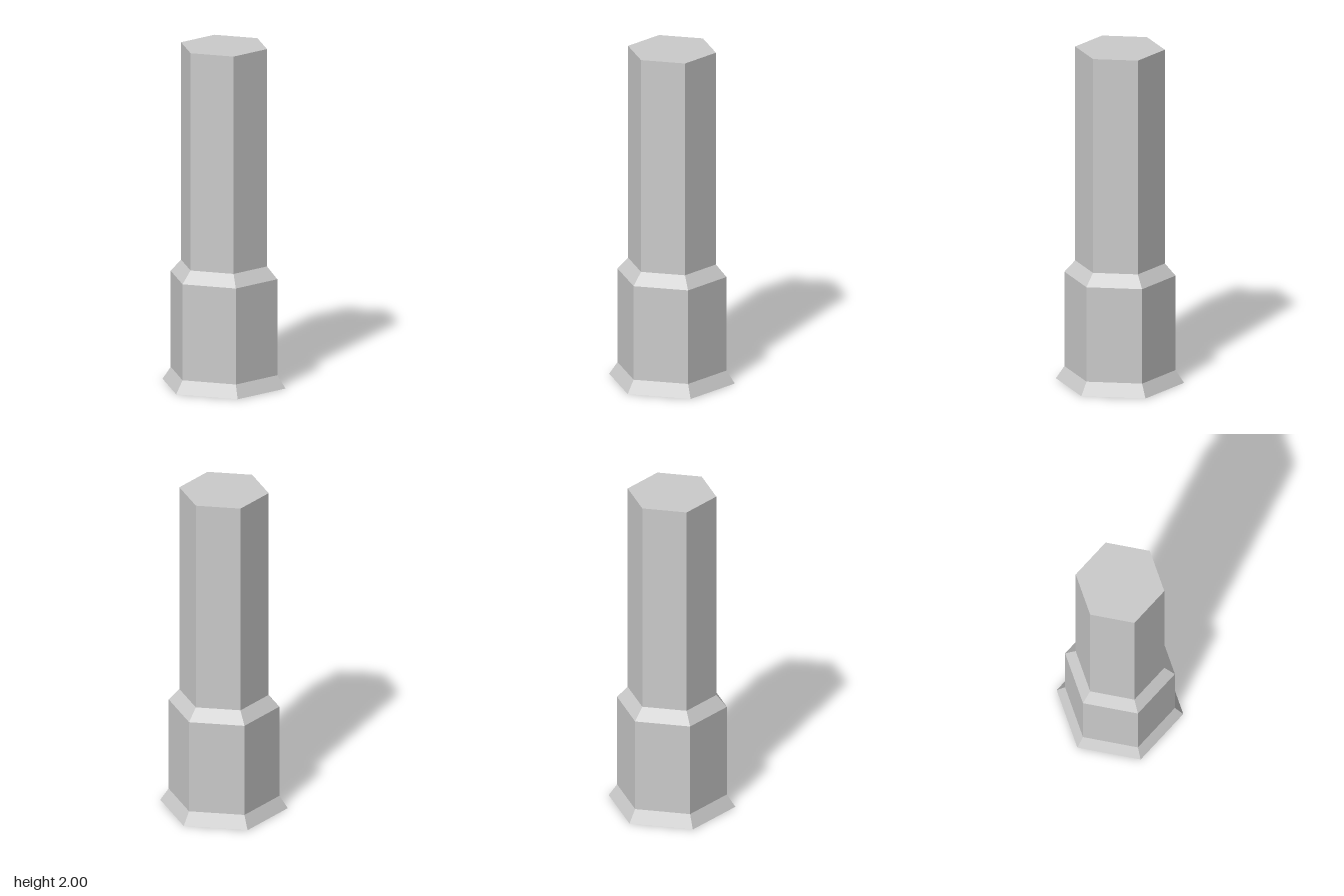
import * as THREE from 'three';

const material = new THREE.MeshStandardMaterial({
  color: 0xcccccc,
  flatShading: true,
  side: THREE.DoubleSide, // thin shell, open underneath
});

// Six-sided section with corners on the z axis; profile is [radius, height] from bottom to top
function hexSection(name, profile) {
  const points = profile.map(([r, y]) => new THREE.Vector2(r, y));
  const mesh = new THREE.Mesh(new THREE.LatheGeometry(points, 6), material);
  mesh.name = name;
  return mesh;
}

export function createModel() {
  const group = new THREE.Group();
  group.name = 'hexagonalPost';
  group.add(
    // Flared skirt around the open bottom
    hexSection('flaredSkirt', [[0.37, 0], [0.321, 0.075]]),
    // Wide lower sleeve
    hexSection('sleeve', [[0.321, 0.075], [0.321, 0.643]]),
    // Sloped step from the sleeve to the shaft
    hexSection('shoulder', [[0.321, 0.643], [0.259, 0.714]]),
    // Long upper shaft
    hexSection('shaft', [[0.259, 0.714], [0.259, 2]])
  );

  // Flat top
  const cap = new THREE.Mesh(new THREE.CircleGeometry(0.259, 6, Math.PI / 2), material);
  cap.name = 'topCap';
  cap.rotation.x = -Math.PI / 2;
  cap.position.y = 2;
  group.add(cap);
  return group;
}
